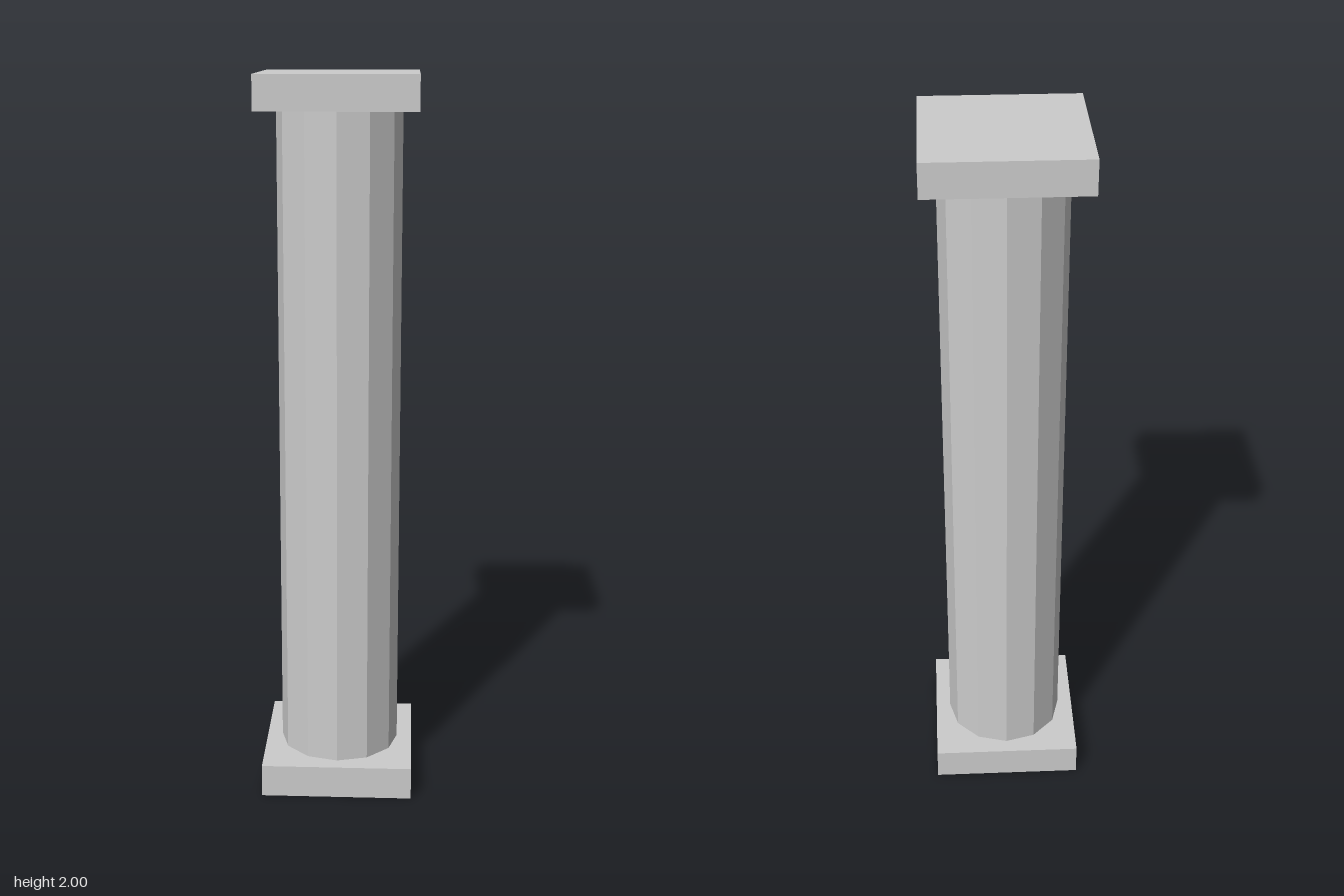
import * as THREE from 'three';

export function createModel() {
  const model = new THREE.Group();
  model.name = 'column';
  const stone = new THREE.MeshStandardMaterial({ color: 0xcccccc, flatShading: true });
  stone.name = 'grey stone';

  const height = 2, slab = 0.092, width = 0.423, radius = 0.169;

  const add = (name, geometry, y) => {
    const mesh = new THREE.Mesh(geometry, stone);
    mesh.name = name;
    mesh.position.y = y;
    model.add(mesh);
  };

  // Square slabs at foot and head
  const slabGeometry = new THREE.BoxGeometry(width, slab, width);
  add('base', slabGeometry, slab / 2);
  add('capital', slabGeometry, height - slab / 2);

  // Twelve-sided shaft with a corner facing the front
  add('shaft', new THREE.CylinderGeometry(radius, radius, height - 2 * slab, 12, 1, true), height / 2);

  return model;
}
